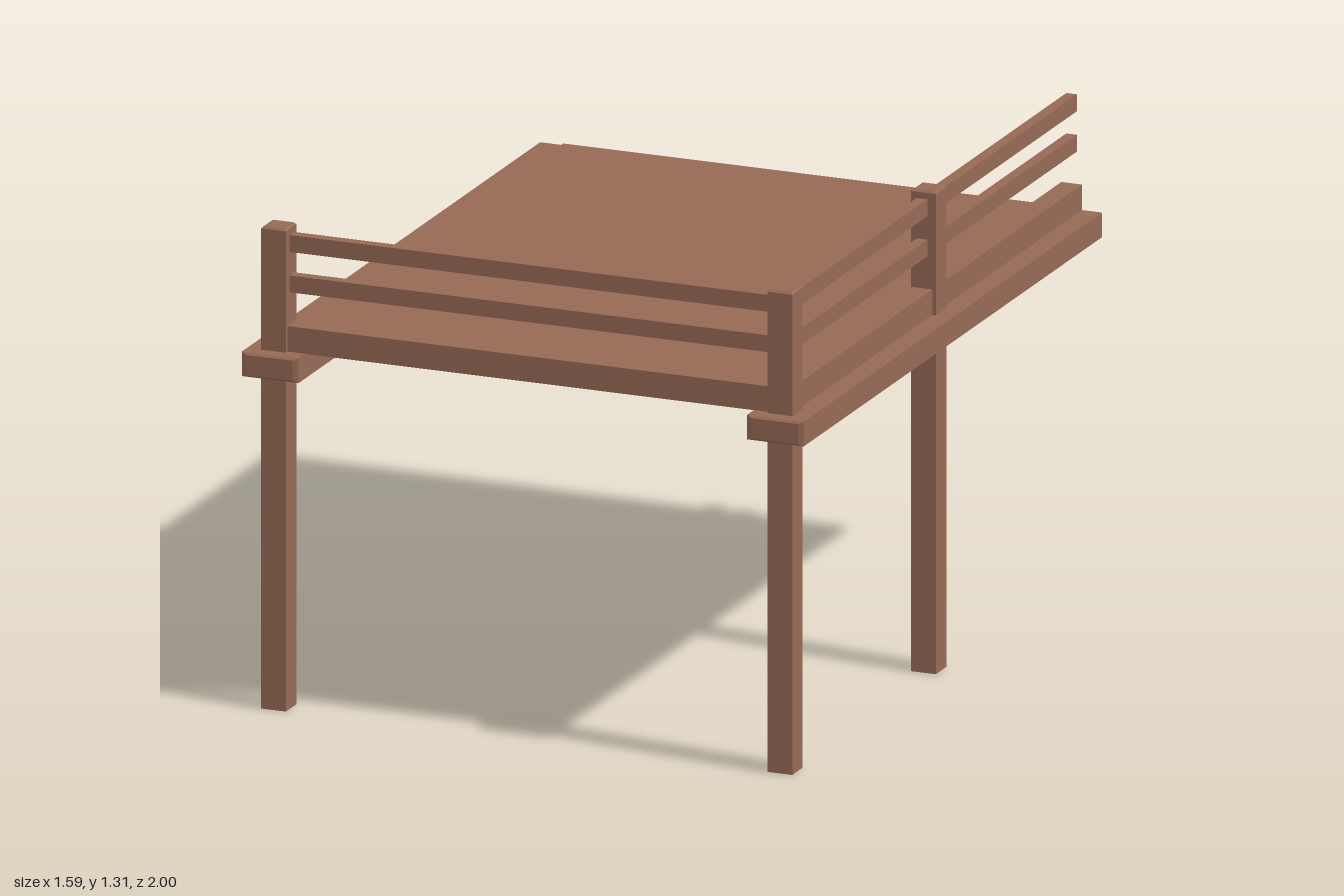
import * as THREE from 'three';

const wood = new THREE.MeshStandardMaterial({ color: 0x966a56, side: THREE.DoubleSide });
wood.name = 'brownWood';

// Square hollow timber along +y from 0 to length: open at the start,
// closed at the far end with a small chamfer.
function timberGeometry(width, depth, length, bevel = 0.006) {
  const r = Math.SQRT1_2;
  const inset = r * (1 - (2 * bevel) / Math.min(width, depth));
  const profile = [[r, 0], [r, length - bevel], [inset, length], [0, length]]
    .map(([x, y]) => new THREE.Vector2(x, y));
  const geometry = new THREE.LatheGeometry(profile, 4, Math.PI / 4).toNonIndexed();
  geometry.scale(width, 1, depth);
  geometry.computeVertexNormals();
  return geometry;
}

export function createModel() {
  const model = new THREE.Group();
  model.name = 'deck';

  const add = (name, geometry, x, y, z) => {
    const mesh = new THREE.Mesh(geometry, wood);
    mesh.name = name;
    mesh.position.set(x, y, z);
    model.add(mesh);
  };

  // Posts
  const leftX = 0.71, rightX = -0.72, frontZ = 0.925;
  add('frontLeftPost', timberGeometry(0.07, 0.07, 1.314), leftX, 0, frontZ);
  add('middleLeftPost', timberGeometry(0.07, 0.07, 1.314), leftX, 0, -0.035);
  add('frontRightPost', timberGeometry(0.07, 0.07, 1.314), rightX, 0, frontZ);

  // Support beams, open at the back
  for (const [name, x] of [['leftBeam', 0.712], ['rightBeam', -0.715]]) {
    add(name, timberGeometry(0.16, 0.067, 2).rotateX(Math.PI / 2), x, 0.944, -1);
  }

  // Floor: a single thin sheet
  const floor = new THREE.PlaneGeometry(1.42, 1.9).rotateX(-Math.PI / 2);
  add('floor', floor, -0.02, 0.982, -0.05);

  // Sill and two rails on the front and on the left side
  const bars = [
    ['Sill', 0.058, 0.07, 1.012],
    ['LowerRail', 0.03, 0.046, 1.158],
    ['UpperRail', 0.03, 0.046, 1.268],
  ];
  for (const [name, thick, high, y] of bars) {
    const across = timberGeometry(high, thick, 1.37, 0.001).rotateZ(-Math.PI / 2);
    add('front' + name, across, -0.69, y, 0.92);
    const along = timberGeometry(thick, high, 1.9, 0.001).rotateX(Math.PI / 2);
    add('left' + name, along, 0.706, y, -1);
  }

  return model;
}
